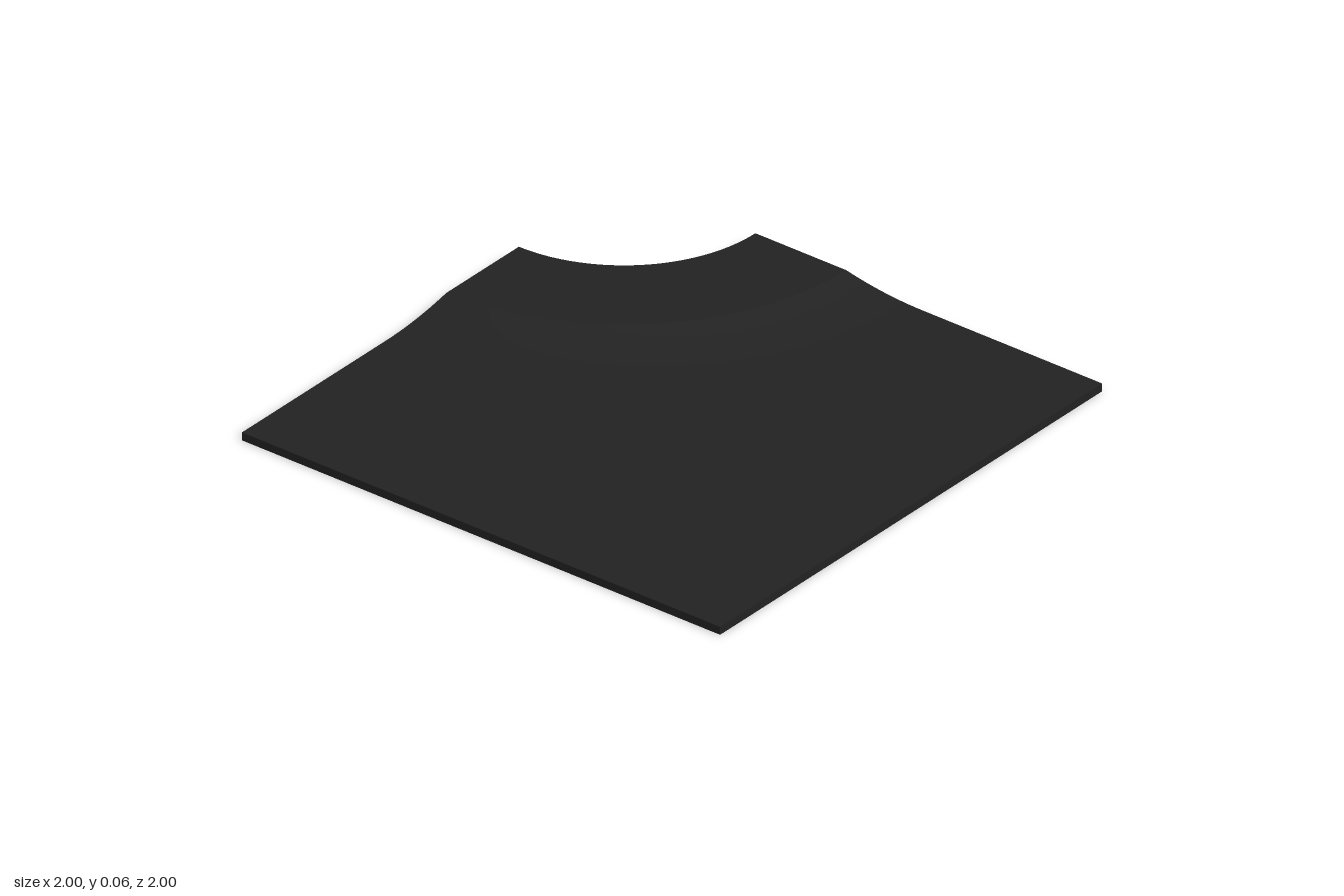
import * as THREE from 'three';
import { toCreasedNormals } from 'three/addons/utils/BufferGeometryUtils.js';

const HOLE = 0.55, RIM = 0.93, FOOT = 1.25, SIDE = 2;
const RIM_Y = 0.065, PLATE_Y = 0.03;

export function createModel() {
  const group = new THREE.Group();
  group.name = 'cornerPlate';

  // radial cross-section: hole wall, raised rim, concave ramp, thin plate
  const profile = [[HOLE, 0], [SIDE, 0], [SIDE, PLATE_Y]];
  const rampSteps = 10;
  for (let i = 0; i <= rampSteps; i++) {
    const t = i / rampSteps; // from the foot up to the rim
    profile.push([FOOT + (RIM - FOOT) * t, PLATE_Y + (RIM_Y - PLATE_Y) * t * t]);
  }
  profile.push([HOLE, RIM_Y]);
  const shape = new THREE.Shape(profile.map(([r, y]) => new THREE.Vector2(r, y)));

  // extrude along the angle, then sweep a quarter turn about the back corner
  const geometry = new THREE.ExtrudeGeometry(shape, { depth: 1, steps: 48, bevelEnabled: false });
  const p = geometry.attributes.position;
  for (let i = 0; i < p.count; i++) {
    const a = p.getZ(i) * Math.PI / 2, c = Math.cos(a), s = Math.sin(a);
    let r = p.getX(i);
    if (r > SIDE - 0.001) r = SIDE / Math.max(c, s); // outer edge follows the square
    p.setXYZ(i, -1 + r * c, p.getY(i), -1 + r * s);
  }

  const material = new THREE.MeshStandardMaterial({ color: 0x222222 });
  const plate = new THREE.Mesh(toCreasedNormals(geometry, 0.12), material);
  plate.name = 'plateWithRaisedRim';
  group.add(plate);
  return group;
}
